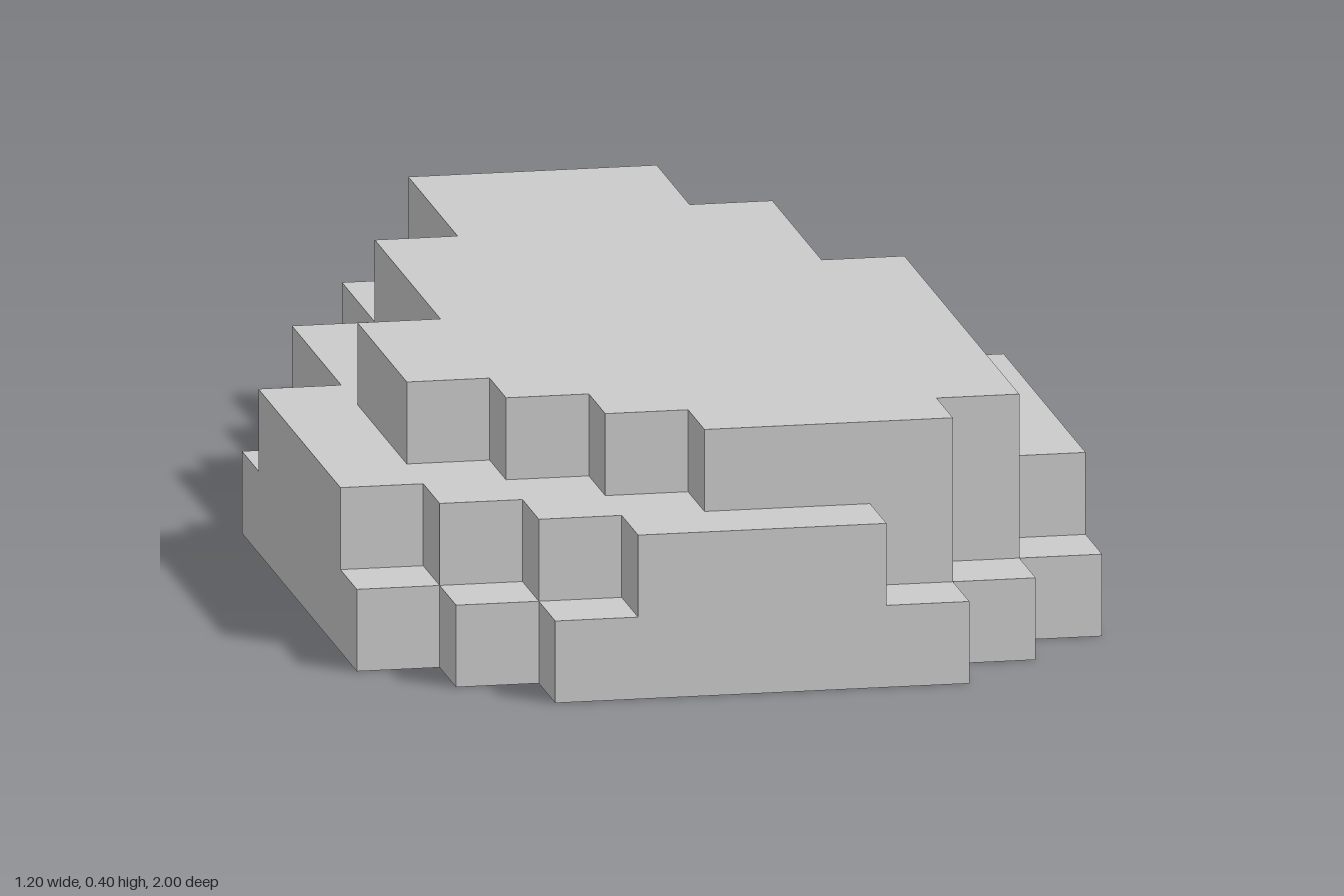
import * as THREE from 'three';

// The rock is a stepped block on a 9 x 15 grid, three layers high.
const CELL = 2 / 15;

// Per layer: first row from the back, then [rows, first column, last column] runs.
const LAYERS = [
  { name: 'baseLayer', row: 0, runs: [[1, 3, 5], [2, 2, 6], [3, 1, 7], [7, 0, 8], [1, 1, 7], [1, 2, 6]] },
  { name: 'middleLayer', row: 0, runs: [[1, 4, 4], [1, 3, 5], [2, 2, 6], [3, 1, 7], [5, 0, 8], [1, 1, 7], [1, 2, 6], [1, 3, 5]] },
  { name: 'topLayer', row: 1, runs: [[2, 3, 5], [1, 3, 6], [2, 2, 6], [2, 2, 7], [3, 1, 7], [1, 2, 7], [1, 3, 7], [1, 4, 6]] },
];

// Stepped outline of a layer: down one side, back up the other.
function layerOutline({ row, runs }) {
  const left = [], right = [];
  const point = (col, r) => new THREE.Vector2((col - 4.5) * CELL, (7.5 - r) * CELL);
  let r = row;
  for (const [rows, first, last] of runs) {
    left.push(point(first, r), point(first, r + rows));
    right.push(point(last + 1, r), point(last + 1, r + rows));
    r += rows;
  }
  return new THREE.Shape([...left, ...right.reverse()]);
}

export function createModel() {
  const group = new THREE.Group();
  group.name = 'steppedRock';
  const material = new THREE.MeshStandardMaterial({ color: 0xcccccc, flatShading: true });

  // Stack the layers from the ground up
  LAYERS.forEach((layer, i) => {
    const geometry = new THREE.ExtrudeGeometry(layerOutline(layer), { depth: CELL, bevelEnabled: false });
    geometry.rotateX(-Math.PI / 2);
    const mesh = new THREE.Mesh(geometry, material);
    mesh.name = layer.name;
    mesh.position.y = i * CELL;
    group.add(mesh);
  });
  return group;
}
